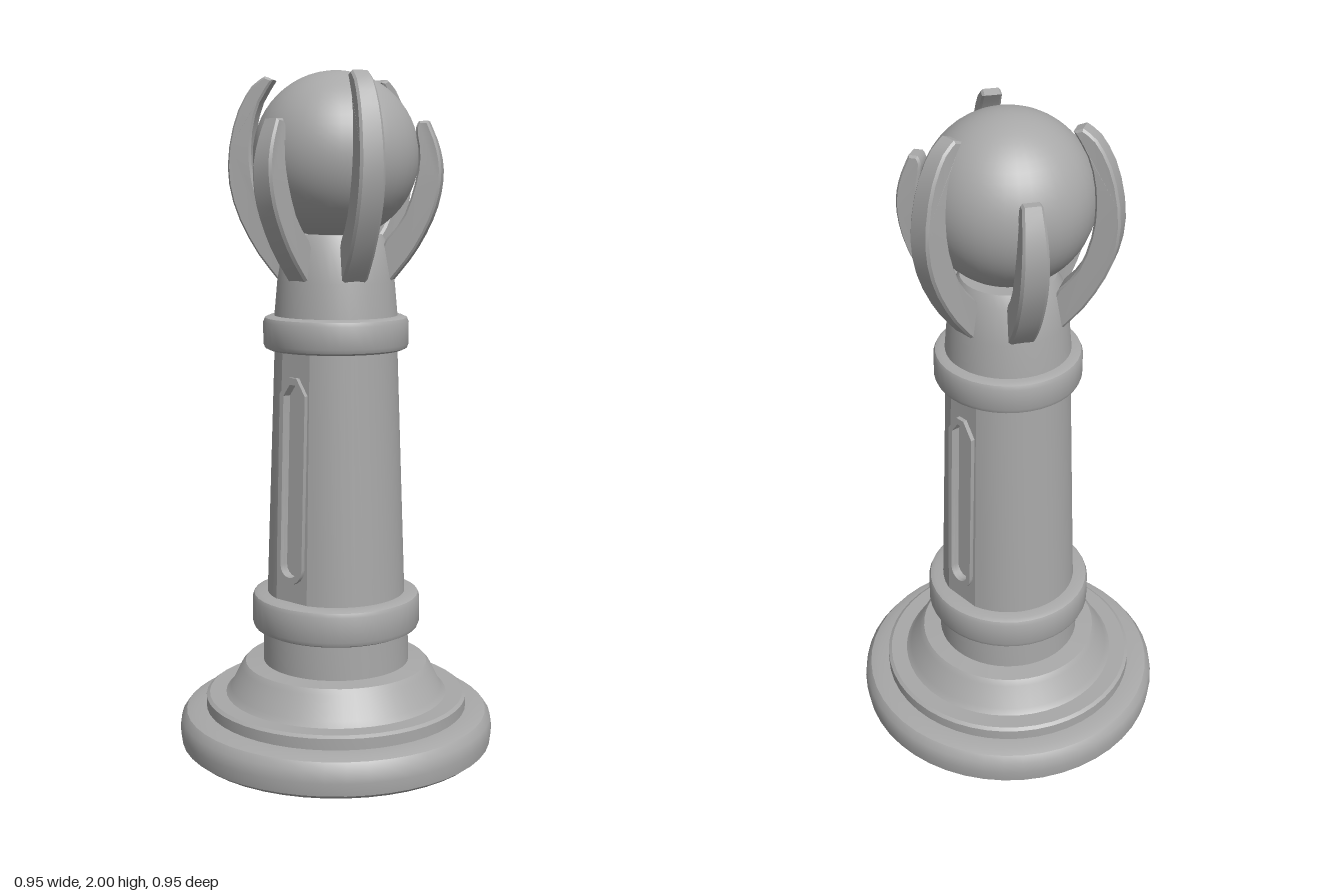
import * as THREE from 'three';
import { toCreasedNormals } from 'three/addons/utils/BufferGeometryUtils.js';

const stone = new THREE.MeshStandardMaterial({ color: 0xa8a8a8 });
const v2 = (pts) => pts.map(([x, y]) => new THREE.Vector2(x, y));
const deg = THREE.MathUtils.degToRad;

function part(name, geometry, crease = 0.6) {
  const mesh = new THREE.Mesh(toCreasedNormals(geometry, crease), stone);
  mesh.name = name;
  return mesh;
}

function turned(name, pts, start = 0, length = Math.PI * 2, segments = 40) {
  return part(name, new THREE.LatheGeometry(v2(pts), segments, start, length));
}

// Ring moulding with softened edges
function collar(name, r, inner, y0, y1) {
  const b = 0.018;
  return turned(name, [[inner, y0], [r - b, y0], [r - 0.005, y0 + 0.006], [r, y0 + b],
    [r, y1 - b], [r - 0.005, y1 - 0.006], [r - b, y1], [inner, y1]]);
}

// Slot outline: pointed top, rounded foot
function slotPoints(w, y0, y1) {
  const pts = [];
  for (let i = 0; i <= 8; i++) {
    const a = Math.PI + (i / 8) * Math.PI;
    pts.push([w * Math.cos(a), y0 + w + w * Math.sin(a)]);
  }
  pts.push([w, y1 - w], [w * 0.3, y1], [-w * 0.3, y1], [-w, y1 - w]);
  return v2(pts);
}

// Curved claw from its side outline, narrowing toward the tip
function claw(name, outer, inner, tipY) {
  const curve = (pts) => new THREE.SplineCurve(v2(pts)).getPoints(14);
  const shape = new THREE.Shape([...curve(outer), ...curve(inner)]);
  const geo = new THREE.ExtrudeGeometry(shape, {
    depth: 0.06, bevelEnabled: true, bevelSize: 0.006, bevelOffset: -0.006,
    bevelThickness: 0.008, bevelSegments: 1,
  });
  geo.translate(0, 0, -0.03);
  const p = geo.attributes.position;
  for (let i = 0; i < p.count; i++) {
    const t = THREE.MathUtils.clamp((p.getY(i) - 1.62) / (tipY - 1.62), 0, 1);
    p.setZ(i, p.getZ(i) * (1 - 0.3 * t * t));
  }
  return part(name, geo, 0.5);
}

export function createModel() {
  const model = new THREE.Group();
  model.name = 'orbPillar';

  // Stepped round base, slightly hollow underneath
  model.add(turned('base', [[0, 0.02], [0.395, 0.02], [0.41, 0], [0.455, 0], [0.47, 0.012],
    [0.475, 0.05], [0.47, 0.085], [0.455, 0.105], [0.43, 0.113], [0.395, 0.115],
    [0.395, 0.148], [0.385, 0.155], [0.335, 0.155], [0.32, 0.17], [0.288, 0.235],
    [0.275, 0.25], [0.22, 0.255]], 0, Math.PI * 2, 48));
  model.add(turned('lowerNeck', [[0.22, 0.25], [0.218, 0.365]]));
  model.add(collar('lowerCollar', 0.252, 0.19, 0.36, 0.47));

  // Tapered shaft, open on both sides for the slot panels
  const y0 = 0.46, y1 = 1.21, r0 = 0.207, r1 = 0.181, half = deg(17);
  for (const side of [1, -1]) {
    model.add(turned('shaft', [[r0, y0], [r1, y1]],
      side * Math.PI / 2 + half, Math.PI - 2 * half, 18));

    const panel = new THREE.Group();
    panel.name = 'slotPanel';
    const w0 = r0 * Math.sin(half), w1 = r1 * Math.sin(half), h = y1 - y0;
    const face = new THREE.Shape(v2([[-w0, 0], [w0, 0], [w1, h], [-w1, h]]));
    face.holes.push(new THREE.Path(slotPoints(0.034, 0.085, 0.65)));
    panel.add(part('slotWall', new THREE.ExtrudeGeometry(face, { depth: 0.02, bevelEnabled: false })
      .translate(0, 0, -0.02)));
    const rim = new THREE.Shape(slotPoints(0.049, 0.065, 0.67));
    rim.holes.push(new THREE.Path(slotPoints(0.034, 0.085, 0.65)));
    panel.add(part('slotRim', new THREE.ExtrudeGeometry(rim, { depth: 0.013, bevelEnabled: false })));
    panel.add(part('slotBack', new THREE.BoxGeometry(0.09, 0.62, 0.01)
      .translate(0, 0.37, -0.02)));
    panel.rotation.order = 'YXZ';
    panel.rotation.set(-Math.atan((r0 - r1) * Math.cos(half) / h), side * Math.PI / 2, 0);
    panel.position.set(side * r0 * Math.cos(half), y0, 0);
    model.add(panel);
  }

  // Upper collar and the neck that holds the orb
  model.add(collar('upperCollar', 0.214, 0.15, 1.2, 1.3));
  model.add(turned('upperNeck', [[0.182, 1.29], [0.172, 1.4], [0.155, 1.5], [0.135, 1.535], [0, 1.535]]));

  const orb = new THREE.Mesh(new THREE.SphereGeometry(0.24, 40, 28), stone);
  orb.name = 'orb';
  orb.position.y = 1.76;
  model.add(orb);

  // Six claws, tall and short in turn
  const tall = [
    [[0.165, 1.4], [0.235, 1.49], [0.295, 1.61], [0.316, 1.73], [0.295, 1.86], [0.25, 1.95], [0.205, 1.985]],
    [[0.18, 1.975], [0.225, 1.9], [0.245, 1.8], [0.238, 1.69], [0.2, 1.58], [0.14, 1.5], [0.135, 1.4]],
  ];
  const short = [
    [[0.165, 1.4], [0.235, 1.49], [0.29, 1.6], [0.31, 1.7], [0.3, 1.78], [0.27, 1.855]],
    [[0.245, 1.855], [0.235, 1.83], [0.245, 1.76], [0.235, 1.68], [0.2, 1.58], [0.14, 1.5], [0.135, 1.4]],
  ];
  for (let i = 0; i < 6; i++) {
    const c = i % 2 ? claw('shortClaw', ...short, 1.86) : claw('tallClaw', ...tall, 1.99);
    c.rotation.y = i * Math.PI / 3;
    model.add(c);
  }
  return model;
}
